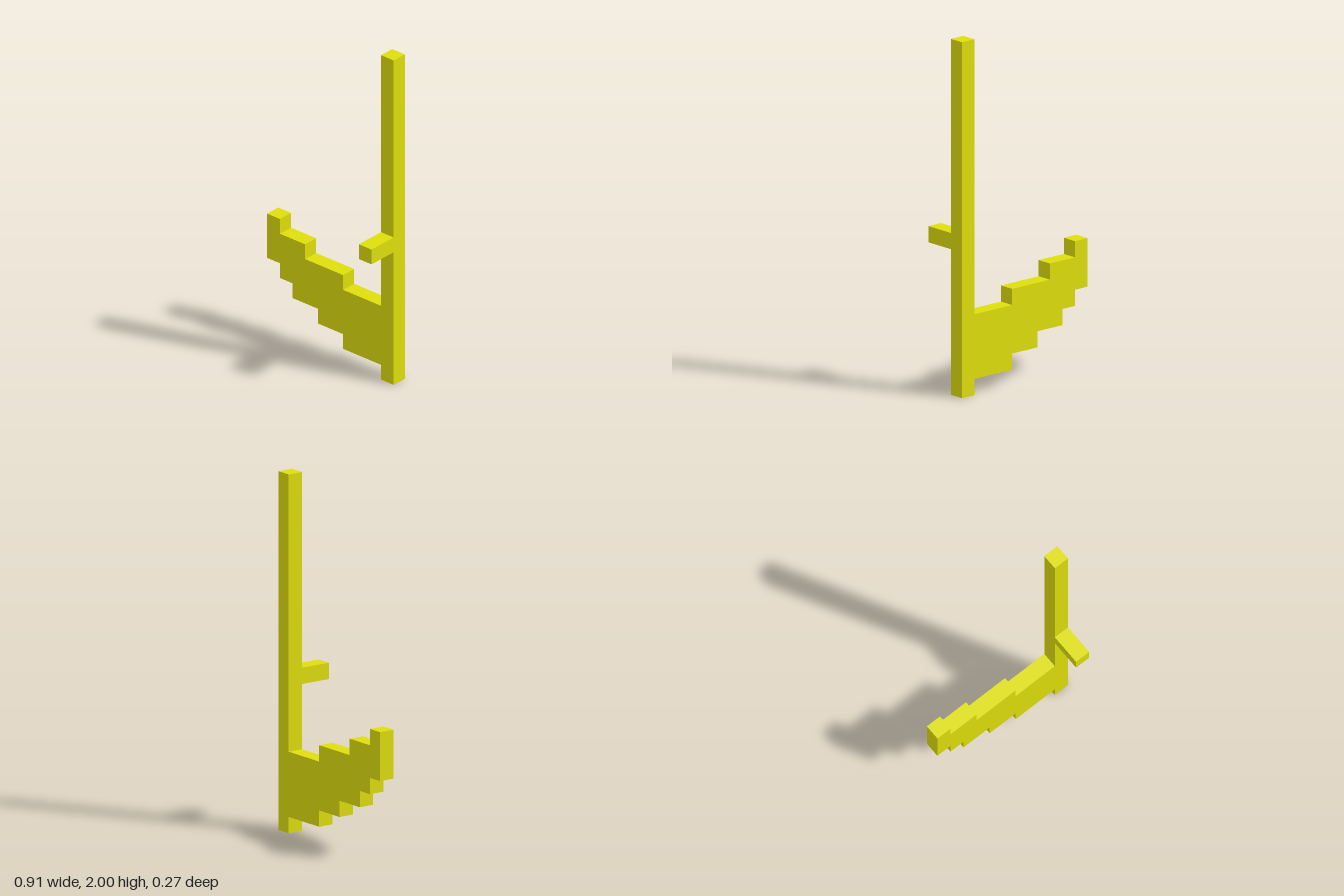
import * as THREE from 'three';

// The model lies on a block grid, 22 blocks tall
const U = 2 / 22;

export function createModel() {
  const group = new THREE.Group();
  const material = new THREE.MeshStandardMaterial({ color: 0xdede0c, flatShading: true });

  const add = (name, geometry) => {
    const mesh = new THREE.Mesh(geometry, material);
    mesh.name = name;
    group.add(mesh);
    return mesh;
  };

  // Long upright shaft
  add('shaft', new THREE.BoxGeometry(U, 22 * U, U)).position.set(4.5 * U, 11 * U, -U);

  // Handle peg reaching forward from the shaft
  add('handle', new THREE.BoxGeometry(U, U, 2 * U)).position.set(4.5 * U, 9.5 * U, 0.5 * U);

  // Stepped blade sweeping up and away from the foot of the shaft
  const outline = [
    [4, 1], [4, 5], [1, 5], [1, 6], [-2, 6], [-2, 7], [-4, 7], [-4, 8], [-5, 8],
    [-5, 5], [-4, 5], [-4, 4], [-3, 4], [-3, 3], [-1, 3], [-1, 2], [1, 2], [1, 1],
  ];
  const shape = new THREE.Shape(outline.map(([x, y]) => new THREE.Vector2(x * U, y * U)));
  const blade = new THREE.ExtrudeGeometry(shape, { depth: U, bevelEnabled: false });
  add('blade', blade).position.z = -1.5 * U;

  return group;
}
